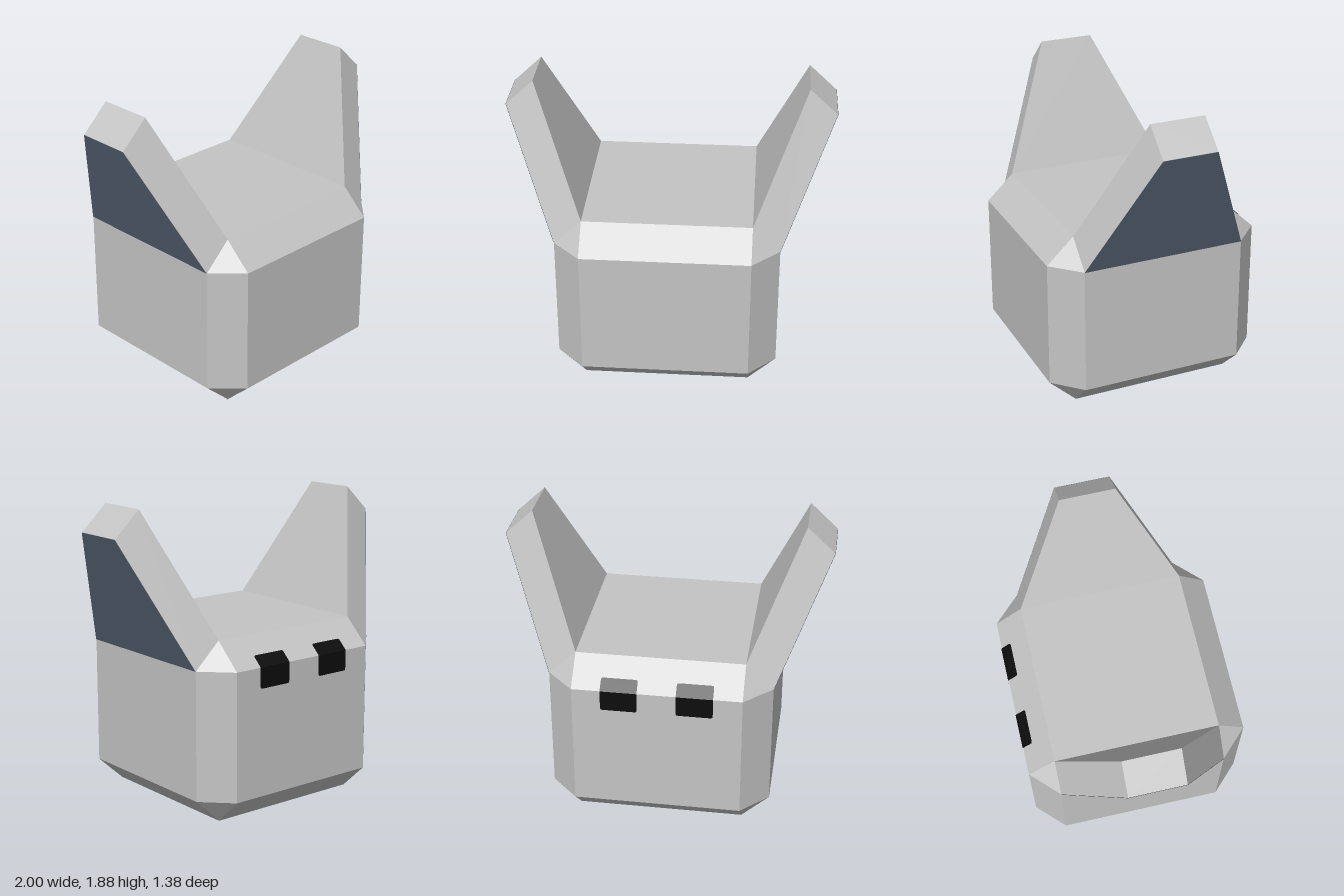
import * as THREE from 'three';
import { ConvexGeometry } from 'three/addons/geometries/ConvexGeometry.js';

const OUT = 0.688, IN = 0.518;            // half widths outside and inside the bevel
const Y0 = 0.16, Y1 = 0.96, TOP = 1.12;   // bevel heights
const TIP = 0.172;                        // half depth of an ear tip

const mat = (name, color, side = THREE.FrontSide) => {
  const m = new THREE.MeshStandardMaterial({ color, side });
  m.name = name;
  return m;
};

export function createModel() {
  const model = new THREE.Group();
  model.name = 'earedBlock';
  const grey = mat('lightGrey', 0xc4c4c4);
  const slate = mat('slateBlue', 0x5d6b7d, THREE.DoubleSide);
  const black = mat('black', 0x0c0c0c, THREE.DoubleSide);

  const add = (name, geometry, material) => {
    const mesh = new THREE.Mesh(geometry, material);
    mesh.name = name;
    model.add(mesh);
    return mesh;
  };
  const V = (x, y, z) => new THREE.Vector3(x, y, z);

  // Body: a box with every edge bevelled
  const points = [];
  for (const sx of [-1, 1]) for (const sz of [-1, 1]) {
    for (const y of [0.002, TOP]) points.push(V(sx * IN, y, sz * IN));
    for (const y of [Y0, Y1]) points.push(V(sx * OUT, y, sz * IN), V(sx * IN, y, sz * OUT));
  }
  add('body', new ConvexGeometry(points), grey);

  // Base plate
  const base = add('basePlate', new THREE.PlaneGeometry(IN * 2, IN * 2), slate);
  base.rotation.x = Math.PI / 2;

  // Ears: tapering slabs rising from the side bevels, with a coloured outer panel
  for (const s of [-1, 1]) {
    const side = s > 0 ? 'left' : 'right';
    const ear = [];
    for (const sz of [-1, 1]) {
      ear.push(V(s * OUT, Y1, sz * IN), V(s * IN, TOP, sz * IN));
      ear.push(V(s * 0.998, 1.72, sz * TIP), V(s * 0.828, 1.88, sz * TIP));
    }
    add(side + 'Ear', new ConvexGeometry(ear), grey);

    const quad = [V(OUT, Y1, s * IN), V(OUT, Y1, -s * IN), V(0.998, 1.72, -s * TIP), V(0.998, 1.72, s * TIP)]
      .map((p) => V(s * (p.x + 0.002), p.y - 0.0008, p.z));
    const panel = new THREE.BufferGeometry().setFromPoints(quad);
    panel.setIndex([0, 1, 2, 0, 2, 3]);
    panel.computeVertexNormals();
    add(side + 'EarPanel', panel, slate);
  }

  // Flap with rounded free corners, hinged along y = 0
  const flap = (w, h, r) => {
    const sh = new THREE.Shape();
    sh.moveTo(-w, 0).lineTo(w, 0).lineTo(w, h - r);
    sh.quadraticCurveTo(w, h, w - r, h).lineTo(r - w, h);
    sh.quadraticCurveTo(-w, h, -w, h - r).lineTo(-w, 0);
    return new THREE.ShapeGeometry(sh, 4);
  };

  // Eye marks folded over the rear top edge
  const slope = Math.atan2(OUT - IN, TOP - Y1);
  for (const s of [-1, 1]) {
    const name = s > 0 ? 'left' : 'right';
    const upper = add(name + 'EyeUpper', flap(0.112, 0.088, 0.015), black);
    const lower = add(name + 'EyeLower', flap(0.112, 0.13, 0.015), black);
    for (const m of [upper, lower]) m.position.set(s * 0.23, Y1 + 0.002, -OUT - 0.004);
    upper.rotation.x = slope;
    lower.rotation.x = Math.PI;
  }
  return model;
}
